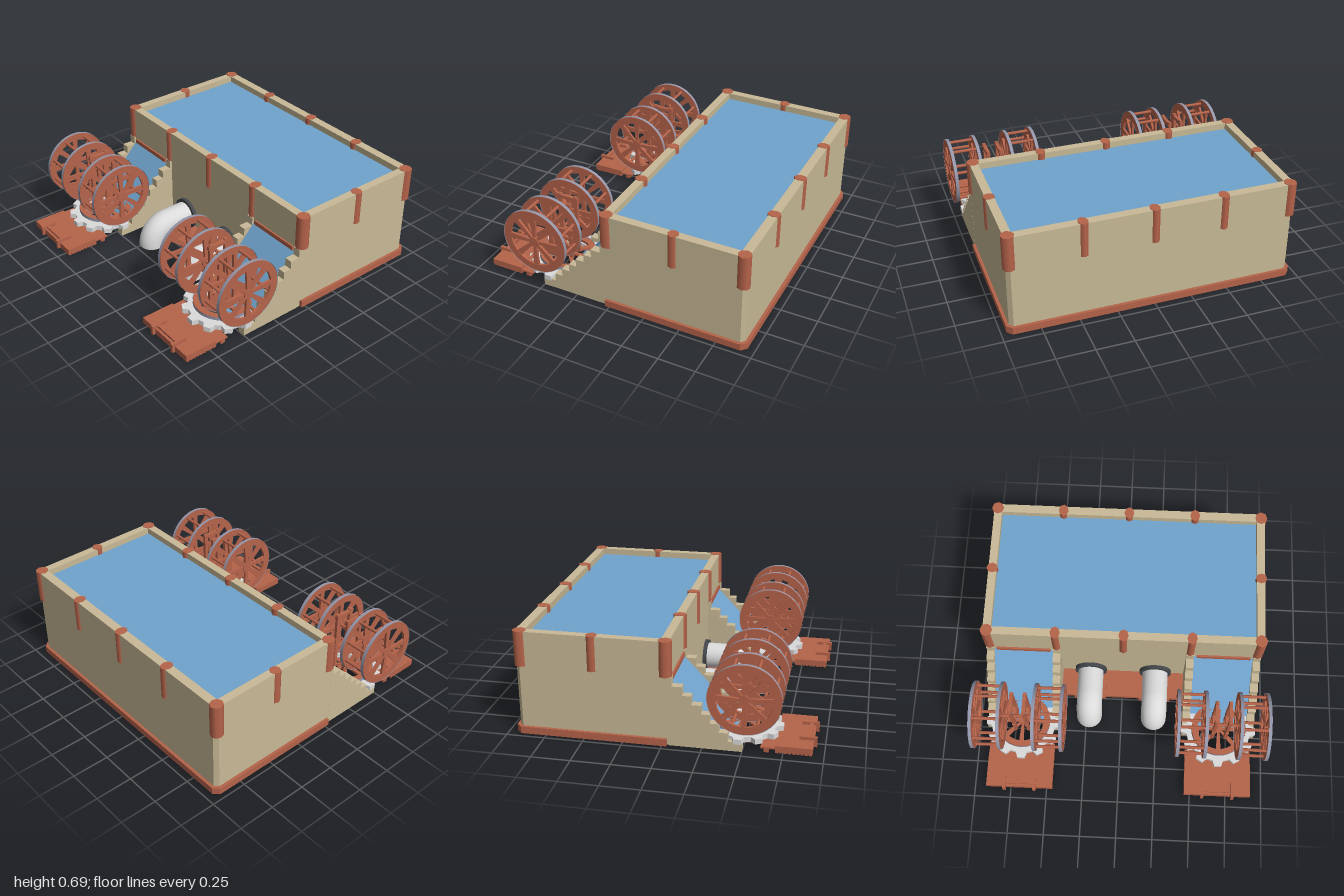
import * as THREE from 'three';

const mat = (name, color, extra = {}) => {
  const m = new THREE.MeshStandardMaterial({ color, ...extra });
  m.name = name;
  return m;
};

export function createModel() {
  const sand = mat('sandstone', 0xc8b996);
  const wood = mat('redWood', 0xb5634a);
  const water = mat('water', 0x70a3cc);
  const white = mat('paleMetal', 0xdadada, { side: THREE.DoubleSide });
  const steel = mat('blueSteel', 0x9496aa, { side: THREE.DoubleSide });
  const dark = mat('darkFlange', 0x43474b);

  const model = new THREE.Group();
  model.name = 'waterTank';

  const add = (parent, name, geo, material, x = 0, y = 0, z = 0) => {
    const m = new THREE.Mesh(geo, material);
    m.name = name;
    m.position.set(x, y, z);
    parent.add(m);
    return m;
  };
  // box given by its min and max corners
  const box = (parent, name, material, x0, x1, y0, y1, z0, z1) =>
    add(parent, name, new THREE.BoxGeometry(x1 - x0, y1 - y0, z1 - z0), material,
      (x0 + x1) / 2, (y0 + y1) / 2, (z0 + z1) / 2);
  const poly = (pts, Type = THREE.Shape) => new Type(pts.map(p => new THREE.Vector2(...p)));
  const extrude = (shape, depth) =>
    new THREE.ExtrudeGeometry(shape, { depth, bevelEnabled: false, curveSegments: 24 });
  // floor plan (x, z) raised by h along y
  const raise = (shape, h) => extrude(shape, h).rotateX(-Math.PI / 2);

  // tank walls with cut outer corners
  const plan = poly([[-0.045, -0.945], [0.905, -0.945], [0.93, -0.92], [0.93, 0.92], [0.905, 0.945], [-0.045, 0.945]]);
  plan.holes.push(poly([[0.01, -0.89], [0.01, 0.89], [0.87, 0.89], [0.87, -0.89]], THREE.Path));
  add(model, 'tankWalls', raise(plan, 0.685), sand, 0, 0.004, 0);

  // plinth on three sides
  add(model, 'plinth', raise(poly([
    [-0.03, -0.965], [0.915, -0.965], [0.95, -0.93], [0.95, 0.93], [0.915, 0.965], [-0.03, 0.965],
    [-0.03, 0.89], [0.865, 0.89], [0.865, -0.89], [-0.03, -0.89]]), 0.047), wood);

  box(model, 'tankWater', water, 0.01, 0.87, 0.44, 0.645, -0.89, 0.89);

  // slatted decks under the tank and under the pipes
  for (let i = 0; i < 36; i++) {
    const z = -0.875 + i * 0.05;
    box(model, 'deckSlat', wood, 0.03, 0.45, 0.012, 0.03, z - 0.02, z + 0.02);
  }
  for (const x of [0.04, 0.24, 0.44]) box(model, 'deckBeam', wood, x - 0.015, x + 0.015, 0.03, 0.05, -0.89, 0.89);
  box(model, 'pipeDeck', wood, -0.24, -0.045, 0.01, 0.04, -0.44, 0.44);

  // rim posts
  const post = (x, z, rx, rz) =>
    add(model, 'rimPost', new THREE.CylinderGeometry(1, 1, 0.232, 8).scale(rx, 1, rz), wood, x, 0.576, z);
  for (const z of [-0.92, -0.46, 0, 0.46, 0.92])
    for (const x of [-0.018, 0.9]) post(x, z, 0.044, Math.abs(z) > 0.9 ? 0.042 : 0.034);
  for (const z of [-0.92, 0.92]) post(0.44, z, 0.036, 0.038);

  // elbow pipes opening downward
  for (const z of [-0.23, 0.23]) {
    const pipe = new THREE.Group();
    pipe.name = 'outletPipe';
    pipe.position.z = z;
    model.add(pipe);
    add(pipe, 'pipeElbow', new THREE.TorusGeometry(0.13, 0.09, 24, 16, Math.PI / 2).rotateZ(Math.PI / 2), white, -0.25, 0, 0);
    add(pipe, 'pipeRun', new THREE.CylinderGeometry(0.09, 0.09, 0.19, 24, 1, true).rotateZ(Math.PI / 2), white, -0.155, 0.13, 0);
    add(pipe, 'pipeFlange', new THREE.CylinderGeometry(0.112, 0.112, 0.025, 24).rotateZ(Math.PI / 2), dark, -0.073, 0.13, 0);
    box(pipe, 'pipeCradle', wood, -0.26, -0.155, 0.02, 0.075, -0.112, 0.112);
  }

  // spoked wheel in the xy plane with a steel tyre
  const ring = new THREE.Shape().absarc(0, 0, 0.227, 0, Math.PI * 2);
  ring.holes.push(new THREE.Path().absarc(0, 0, 0.178, 0, Math.PI * 2, true));
  const ringGeo = extrude(ring, 0.02).translate(0, 0, -0.01);
  const tyreGeo = new THREE.CylinderGeometry(0.23, 0.23, 0.022, 48, 1, true).rotateX(Math.PI / 2);
  const hubGeo = new THREE.CylinderGeometry(0.035, 0.035, 0.03, 16).rotateX(Math.PI / 2);
  const spokeGeo = extrude(poly([[-0.01, 0.02], [0.01, 0.02], [0.02, 0.182], [-0.02, 0.182]]), 0.016).translate(0, 0, -0.008);
  const wheel = (parent, name) => {
    const g = new THREE.Group();
    g.name = name;
    parent.add(g);
    add(g, 'wheelRim', ringGeo, wood);
    add(g, 'wheelTyre', tyreGeo, steel);
    add(g, 'wheelHub', hubGeo, wood);
    for (let i = 0; i < 8; i++) add(g, 'wheelSpoke', spokeGeo, wood).rotation.z = i * Math.PI / 4;
    return g;
  };

  // toothed ring
  const teeth = 12, gearPts = [];
  for (let i = 0; i < teeth; i++)
    for (const [r, f] of [[0.225, -0.32], [0.262, -0.18], [0.262, 0.18], [0.225, 0.32]]) {
      const a = (i + f) * Math.PI * 2 / teeth;
      gearPts.push([r * Math.cos(a), r * Math.sin(a)]);
    }
  const gearShape = poly(gearPts);
  gearShape.holes.push(new THREE.Path().absarc(0, 0, 0.15, 0, Math.PI * 2, true));
  const gearGeo = raise(gearShape, 0.035);

  // stepped side wall of a channel
  const stairPts = [[-0.04, 0], [-0.04, 0.46], [-0.06, 0.46]];
  [-0.06, -0.127, -0.183, -0.244, -0.298, -0.355, -0.41, -0.5].forEach((x, i, xs) => {
    if (i) stairPts.push([xs[i - 1], 0.46 - i * 0.057], [x, 0.46 - i * 0.057]);
  });
  stairPts.push([-0.5, 0]);
  const stairGeo = extrude(poly(stairPts), 0.053).translate(0, 0, -0.0265);
  const chuteGeo = extrude(poly([[-0.045, 0.003], [-0.045, 0.42], [-0.42, 0.02], [-0.45, 0.003]]), 0.41).translate(0, 0, -0.205);

  for (const side of [-1, 1]) {
    const mill = new THREE.Group();
    mill.name = side < 0 ? 'backMill' : 'frontMill';
    mill.position.z = side * 0.69;
    model.add(mill);

    // channel with sloping water and a sluice bar
    for (const z of [-0.229, 0.229]) add(mill, 'steppedWall', stairGeo, sand, 0, 0, z);
    add(mill, 'chuteWater', chuteGeo, water);
    box(mill, 'sluiceBar', wood, -0.058, -0.04, 0.42, 0.45, -0.185, 0.185);

    // dock with planked underside, hitch rail and link bars
    box(mill, 'dock', wood, -0.93, -0.7, 0.008, 0.048, -0.23, 0.23);
    for (let i = 0; i < 9; i++) {
      const x = -0.917 + i * 0.0255;
      box(mill, 'dockPlank', wood, x - 0.01, x + 0.01, 0, 0.01, -0.23, 0.23);
    }
    for (const z of [-0.105, 0.105]) {
      box(mill, 'hitchArm', wood, -0.95, -0.84, 0.046, 0.068, z - 0.01, z + 0.01);
      box(mill, 'hitchEnd', wood, -0.95, -0.93, 0.004, 0.05, z - 0.01, z + 0.01);
    }
    box(mill, 'hitchRail', wood, -0.912, -0.888, 0.046, 0.062, -0.1, 0.1);
    box(mill, 'dockStep', wood, -0.7, -0.61, 0.024, 0.034, -0.23, 0.23);
    box(mill, 'dockSleeper', wood, -0.662, -0.63, 0, 0.024, -0.23, 0.23);
    for (const z of [-0.15, 0.15]) box(mill, 'dockLink', wood, -0.62, -0.45, 0.024, 0.034, z - 0.02, z + 0.02);

    // turntable
    add(mill, 'gear', gearGeo, white, -0.47, 0.05, 0);
    const table = wheel(mill, 'turntable');
    table.position.set(-0.47, 0.108, 0);
    table.rotation.x = -Math.PI / 2;
    table.scale.set(0.83, 0.83, 1);

    // frame carrying the wheels
    for (const z of [-0.045, 0.045]) {
      for (const x of [-0.53, -0.41]) box(mill, 'framePost', wood, x - 0.013, x + 0.013, 0.11, 0.54, z - 0.01, z + 0.01);
      for (const y of [0.26, 0.52]) box(mill, 'frameBeam', wood, -0.55, -0.395, y - 0.012, y + 0.012, z - 0.012, z + 0.012);
    }
    add(mill, 'axle', new THREE.CylinderGeometry(0.012, 0.012, 0.23, 10).rotateX(Math.PI / 2), wood, -0.515, 0.375, 0);

    // two drums, each a pair of wheels joined by rods
    for (const s of [-1, 1]) {
      const drum = new THREE.Group();
      drum.name = 'drum';
      drum.position.set(-0.515, 0.373, s * 0.207);
      mill.add(drum);
      for (const z of [-0.092, 0.092]) wheel(drum, 'drumWheel').position.z = z;
      for (let i = 0; i < 8; i++) {
        const a = (i + 0.5) * Math.PI / 4;
        add(drum, 'drumRod', new THREE.CylinderGeometry(0.011, 0.011, 0.184, 8).rotateX(Math.PI / 2), wood,
          0.2 * Math.cos(a), 0.2 * Math.sin(a), 0);
      }
    }
  }
  return model;
}
